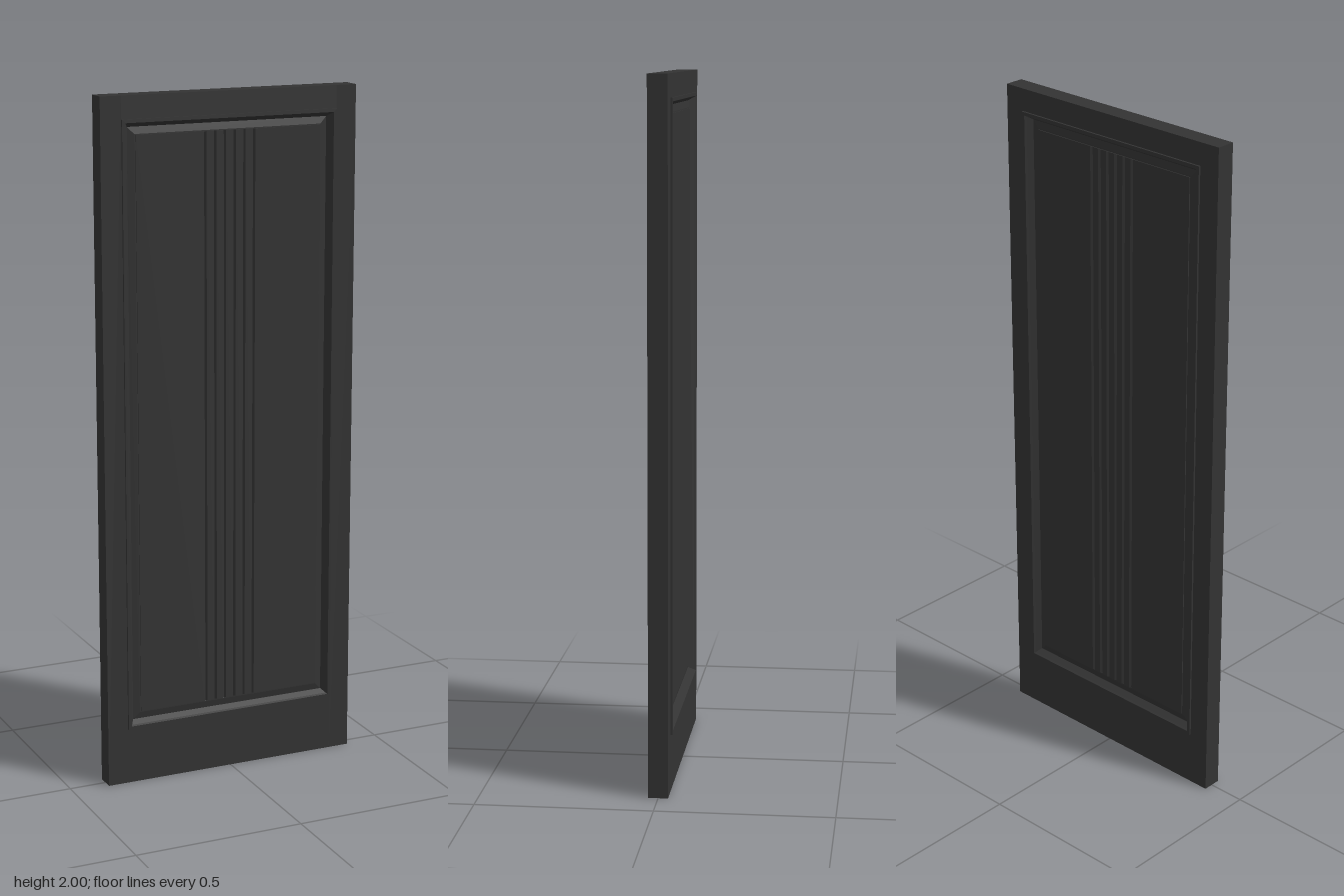
import * as THREE from 'three';

const W = 0.39, IN = 0.328, HALF = 0.028;      // half width, stile inner edge, half thickness
const Y0 = 0.165, Y1 = 1.935;                  // panel opening
const FIELD = 0.046, FIELD_Z = 0.018;          // raised field inset and half thickness

const material = new THREE.MeshStandardMaterial({ color: 0x333333, flatShading: true });

function add(group, name, geometry) {
  const mesh = new THREE.Mesh(geometry, material);
  mesh.name = name;
  group.add(mesh);
  return mesh;
}

function board(group, name, x0, x1, y0, y1) {
  const mesh = add(group, name, new THREE.BoxGeometry(x1 - x0, y1 - y0, HALF * 2));
  mesh.position.set((x0 + x1) / 2, (y0 + y1) / 2, 0);
}

// Mitred frame: rectangular loops stepping inwards along a [inset, z] profile
function mitredFrame(profile) {
  const pos = [], index = [];
  for (const [d, z] of profile) {
    const x = IN - d, a = Y0 + d, b = Y1 - d;
    pos.push(-x, a, z, x, a, z, x, b, z, -x, b, z);
  }
  for (let i = 0; i < profile.length - 1; i++) {
    for (let k = 0; k < 4; k++) {
      const a = i * 4 + k, b = i * 4 + (k + 1) % 4;
      index.push(a, b, b + 4, a, b + 4, a + 4);
    }
  }
  const g = new THREE.BufferGeometry();
  g.setAttribute('position', new THREE.Float32BufferAttribute(pos, 3));
  g.setIndex(index);
  const flat = g.toNonIndexed();
  flat.computeVertexNormals();
  return flat;
}

// Raised field: grooved cross-section swept up the panel
function groovedField() {
  const x = IN - FIELD, face = [[-x, FIELD_Z]];
  for (let i = 0; i < 6; i++) {
    const c = -0.075 + i * 0.03;
    face.push([c - 0.005, FIELD_Z], [c, FIELD_Z - 0.005], [c + 0.005, FIELD_Z]);
  }
  face.push([x, FIELD_Z]);
  const back = face.map(([px, pz]) => [px, -pz]).reverse();
  const shape = new THREE.Shape([...face, ...back].map(p => new THREE.Vector2(...p)));
  const g = new THREE.ExtrudeGeometry(shape, { depth: Y1 - Y0 - 2 * FIELD, bevelEnabled: false });
  g.rotateX(-Math.PI / 2);
  g.translate(0, Y0 + FIELD, 0);
  return g;
}

export function createModel() {
  const door = new THREE.Group();
  door.name = 'door';

  // Stiles and rails
  board(door, 'leftStile', IN, W, 0, 2);
  board(door, 'rightStile', -W, -IN, 0, 2);
  board(door, 'topRail', -IN, IN, Y1, 2);
  board(door, 'bottomRail', -IN, IN, 0.09, Y0);
  board(door, 'kickRail', -IN, IN, 0, 0.09);

  // Moulding and panel bevel on both faces
  const moulding = mitredFrame([[0, 0.02], [0, 0.034], [0.01, 0.034], [0.013, 0.028], [0.023, 0.011]]);
  const bevel = mitredFrame([[0.023, 0.011], [0.043, 0.015], [FIELD, 0.015], [FIELD, FIELD_Z]]);
  for (const [side, turn] of [['front', 0], ['back', Math.PI]]) {
    add(door, side + 'Moulding', moulding).rotation.y = turn;
    add(door, side + 'PanelBevel', bevel).rotation.y = turn;
  }

  add(door, 'groovedPanel', groovedField());
  return door;
}
